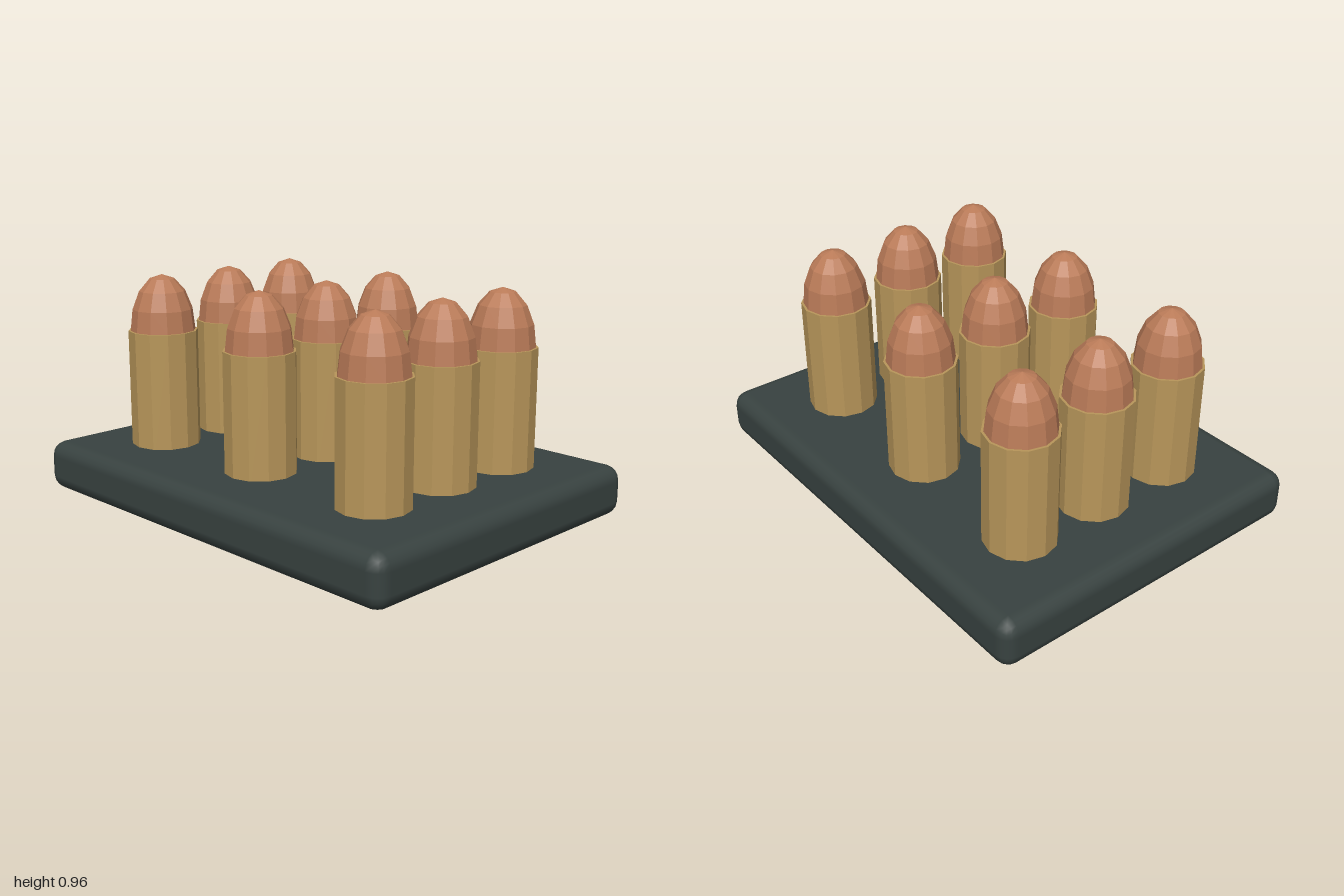
import * as THREE from 'three';
import { RoundedBoxGeometry } from 'three/addons/geometries/RoundedBoxGeometry.js';

export function createModel() {
  const model = new THREE.Group();
  model.name = 'cartridgeTray';

  const material = (name, color, flatShading) => {
    const m = new THREE.MeshStandardMaterial({ color, flatShading });
    m.name = name;
    return m;
  };
  const trayGrey = material('tray grey', 0x384240, false);
  const brass = material('brass', 0xb8965a, true);
  const copper = material('copper', 0xba7b58, true);

  const trayHeight = 0.215;
  const caseTop = 0.717;
  const sides = 12;

  // Rounded tray
  const tray = new THREE.Mesh(new RoundedBoxGeometry(1.5, trayHeight, 2, 2, 0.064), trayGrey);
  tray.name = 'tray';
  tray.position.y = trayHeight / 2;
  model.add(tray);

  // Faceted case, set slightly into the tray
  const caseBottom = 0.15;
  const caseGeometry = new THREE.CylinderGeometry(0.15, 0.15, caseTop - caseBottom, sides);
  caseGeometry.translate(0, (caseTop + caseBottom) / 2, 0);

  // Domed tip: half sphere stretched upward
  const tipGeometry = new THREE.SphereGeometry(0.14, sides, 4, 0, Math.PI * 2, 0, Math.PI / 2);
  tipGeometry.scale(1, 0.24 / 0.14, 1);
  tipGeometry.translate(0, caseTop, 0);

  // Three by three grid of cartridges
  for (const z of [-0.625, 0, 0.625]) {
    for (const x of [-0.375, 0, 0.375]) {
      const cartridge = new THREE.Group();
      cartridge.name = 'cartridge';
      const casing = new THREE.Mesh(caseGeometry, brass);
      casing.name = 'casing';
      const tip = new THREE.Mesh(tipGeometry, copper);
      tip.name = 'tip';
      cartridge.add(casing, tip);
      cartridge.position.set(x, 0, z);
      model.add(cartridge);
    }
  }
  return model;
}
